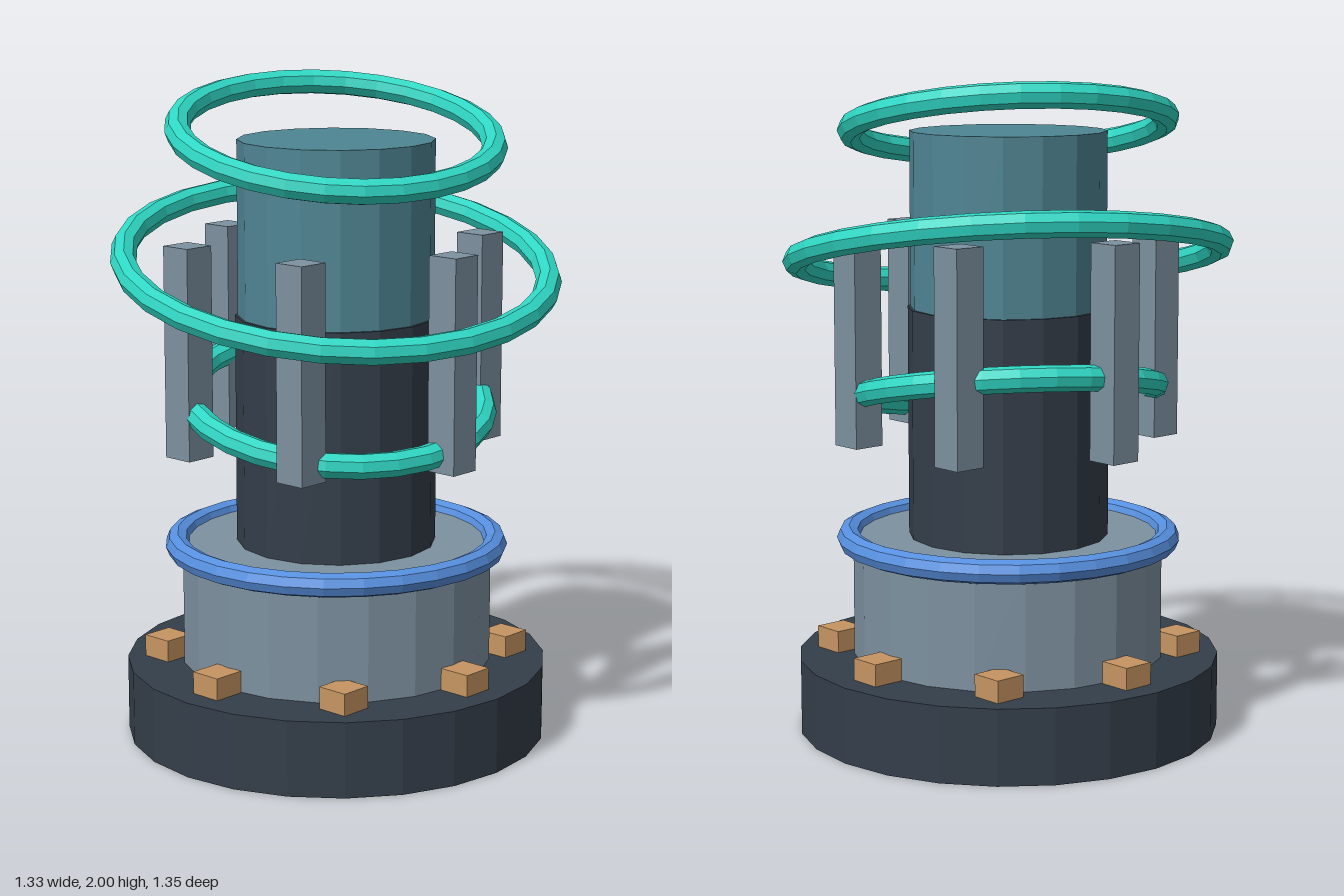
import * as THREE from 'three';

export function createModel() {
  const model = new THREE.Group();
  model.name = 'coilTower';

  const mat = (color) => new THREE.MeshStandardMaterial({ color, flatShading: true });
  const dark = mat(0x343e4a), steel = mat(0x7d91a0), glass = mat(0x4f8593);
  const blue = mat(0x5790e0), copper = mat(0xc69562), teal = mat(0x2fd6c3);

  function add(name, geometry, material, x = 0, y = 0, z = 0) {
    const mesh = new THREE.Mesh(geometry, material);
    mesh.name = name;
    mesh.position.set(x, y, z);
    model.add(mesh);
    return mesh;
  }

  // Upright cylinder given by its bottom and top heights
  const drum = (name, r, y0, y1, sides, material) =>
    add(name, new THREE.CylinderGeometry(r, r, y1 - y0, sides), material, 0, (y0 + y1) / 2, 0);

  // Equal axis-aligned boxes spaced around a circle
  function ringOfBoxes(name, count, radius, w, y0, y1, material) {
    const geometry = new THREE.BoxGeometry(w, y1 - y0, w);
    for (let i = 0; i < count; i++) {
      const a = (i / count) * Math.PI * 2;
      add(name + (i + 1), geometry, material, Math.cos(a) * radius, (y0 + y1) / 2, Math.sin(a) * radius);
    }
  }

  // Stacked body
  drum('base', 0.645, 0, 0.23, 24, dark);
  drum('pedestal', 0.475, 0.23, 0.6, 20, steel);
  drum('column', 0.305, 0.6, 1.3, 16, dark);
  drum('core', 0.297, 1.3, 1.83, 16, glass);

  // Collar around the top of the pedestal
  const collar = add('collar', new THREE.TorusGeometry(0.488, 0.037, 8, 28), blue, 0, 0.593, 0);
  collar.rotation.x = Math.PI / 2;

  // Bolts on the base and floating bars around the column
  ringOfBoxes('bolt', 8, 0.52, 0.1, 0.2, 0.297, copper);
  ringOfBoxes('bar', 6, 0.46, 0.1, 0.89, 1.53, steel);

  // Tilted energy rings: [radius, height]
  [[0.45, 1.04], [0.64, 1.458], [0.473, 1.845]].forEach(([r, y], i) => {
    const ring = add('ring' + (i + 1), new THREE.TorusGeometry(r, 0.039, 8, 28), teal, 0, y, 0);
    ring.rotation.set(Math.PI / 2 + 0.13, -0.205, 0);
  });

  return model;
}
